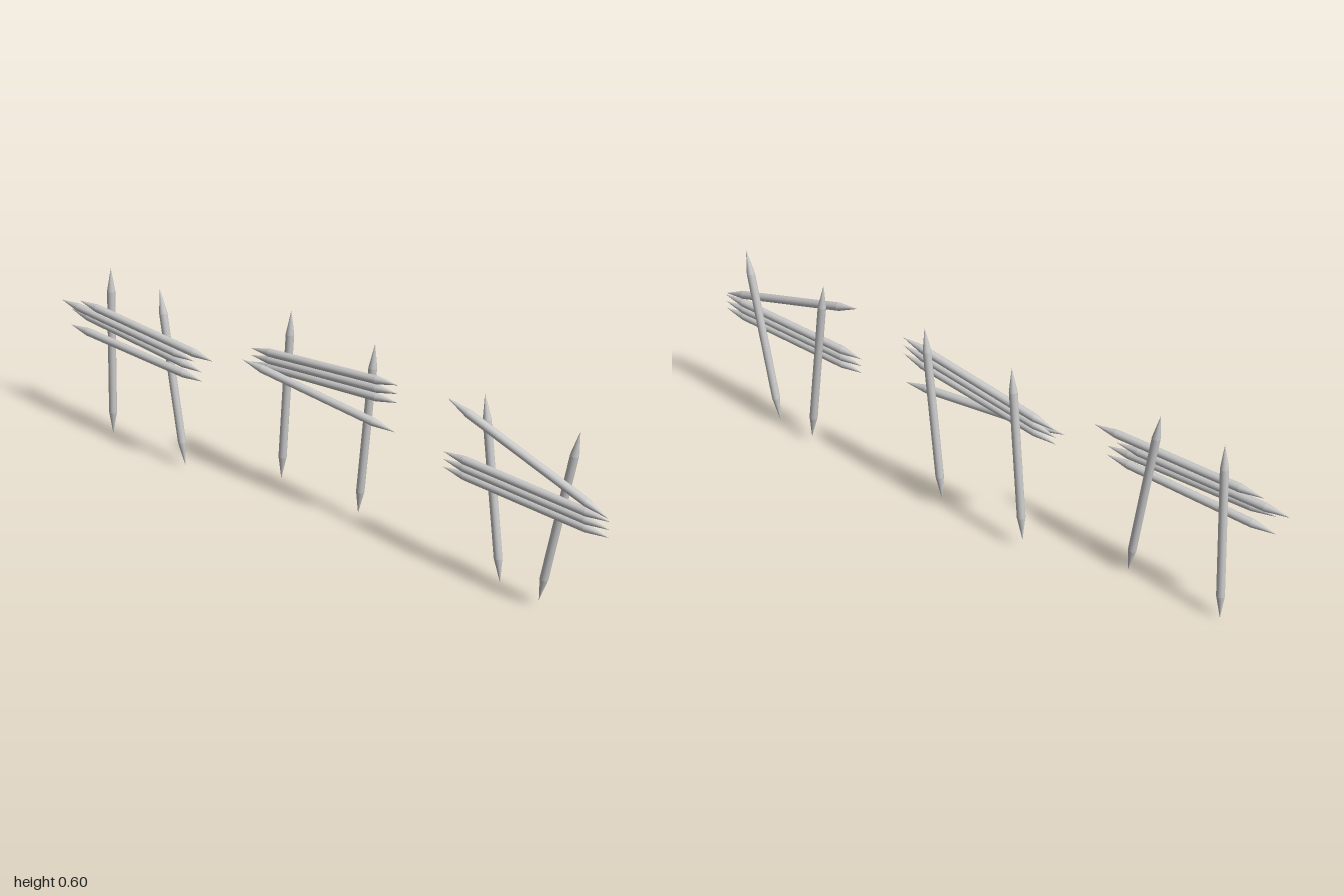
import * as THREE from 'three';
import { mergeGeometries } from 'three/addons/utils/BufferGeometryUtils.js';

const RADIUS = 0.0123;
const TIP = 0.077;
const SIDES = 16;
const material = new THREE.MeshStandardMaterial({ color: 0xcccccc });

// Round stake sharpened to a point at both ends, lying along a line
function makeStake(name, from, to) {
  const a = new THREE.Vector3(...from);
  const b = new THREE.Vector3(...to);
  const length = a.distanceTo(b);
  const shaft = new THREE.CylinderGeometry(RADIUS, RADIUS, length - 2 * TIP, SIDES, 1, true);
  const topTip = new THREE.ConeGeometry(RADIUS, TIP, SIDES, 1, true);
  topTip.translate(0, (length - TIP) / 2, 0);
  const bottomTip = topTip.clone().rotateX(Math.PI);
  const stake = new THREE.Mesh(mergeGeometries([shaft, topTip, bottomTip]), material);
  stake.name = name;
  stake.position.copy(a).lerp(b, 0.5);
  stake.quaternion.setFromUnitVectors(new THREE.Vector3(0, 1, 0), b.sub(a).normalize());
  return stake;
}

// Each post or rail is [x1, y1, x2, y2], with optional z1 for a rail end swung out
const sections = [
  {
    name: 'rightFenceSection', postZ: 0.042, railZ: 0.069,
    posts: [[-0.82, 0.005, -0.797, 0.576], [-0.502, 0.012, -0.588, 0.574]],
    rails: [
      [-0.914, 0.441, -0.346, 0.426],
      [-0.997, 0.418, -0.424, 0.4],
      [-0.955, 0.401, -0.392, 0.375],
      [-0.96, 0.345, -0.392, 0.345],
    ],
  },
  {
    name: 'middleFenceSection', postZ: -0.067, railZ: -0.045,
    posts: [[-0.206, 0.035, -0.161, 0.602], [0.099, 0.035, 0.156, 0.602]],
    rails: [
      [-0.303, 0.443, 0.26, 0.517],
      [-0.303, 0.42, 0.26, 0.49],
      [-0.305, 0.398, 0.26, 0.462],
      [-0.308, 0.416, 0.253, 0.367, -0.013],
    ],
  },
  {
    name: 'leftFenceSection', postZ: -0.067, railZ: -0.045,
    posts: [[0.625, 0.02, 0.547, 0.585], [0.759, 0.022, 0.863, 0.585]],
    rails: [
      [0.435, 0.541, 0.985, 0.379],
      [0.425, 0.372, 0.99, 0.372],
      [0.425, 0.348, 0.99, 0.348],
      [0.425, 0.324, 0.99, 0.324],
    ],
  },
];

export function createModel() {
  const fence = new THREE.Group();
  fence.name = 'brokenFence';
  for (const { name, postZ, railZ, posts, rails } of sections) {
    const section = new THREE.Group();
    section.name = name;
    posts.forEach(([x1, y1, x2, y2], i) =>
      section.add(makeStake(`post${i + 1}`, [x1, y1, postZ], [x2, y2, postZ])));
    rails.forEach(([x1, y1, x2, y2, z1 = railZ], i) =>
      section.add(makeStake(`rail${i + 1}`, [x1, y1, z1], [x2, y2, railZ])));
    fence.add(section);
  }
  return fence;
}
